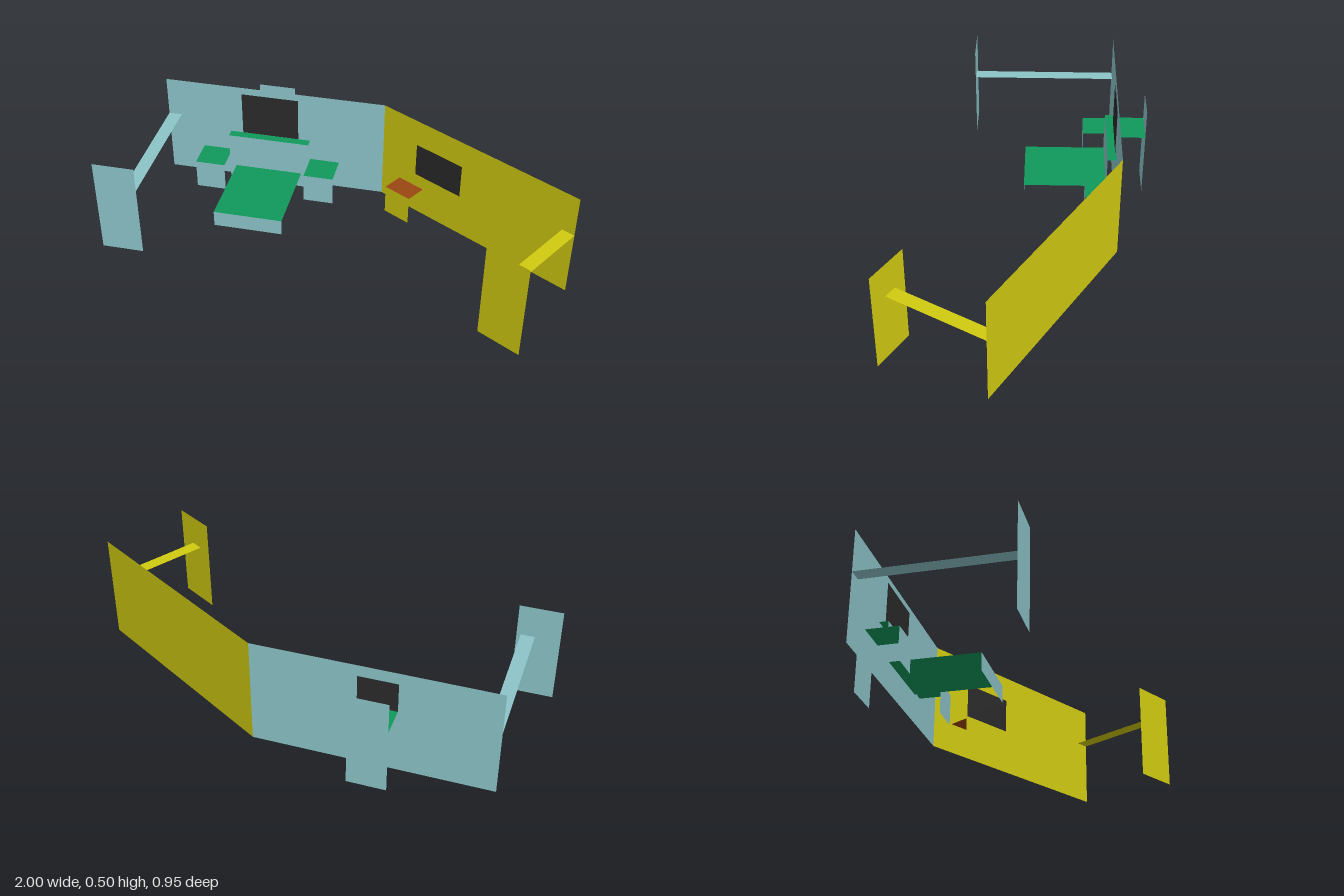
import * as THREE from 'three';

const mat = (color) => new THREE.MeshStandardMaterial({ color, side: THREE.DoubleSide });

export function createModel() {
  const blue = mat(0x8cc4c8), yellow = mat(0xd0ca10), green = mat(0x10985c);
  const black = mat(0x2a2a2a), brown = mat(0x9a4612);
  const WALL_H = 0.487, WALL_L = 1.036, ANGLE = 0.264;

  const add = (parent, name, geometry, material) => {
    const mesh = new THREE.Mesh(geometry, material);
    mesh.name = name;
    parent.add(mesh);
    return mesh;
  };
  // upright sheet parallel to the wall, at distance z from it
  const panel = (parent, name, x0, x1, y0, y1, z, material) =>
    add(parent, name, new THREE.PlaneGeometry(x1 - x0, y1 - y0), material)
      .position.set((x0 + x1) / 2, (y0 + y1) / 2, z);
  // level sheet at height y
  const slab = (parent, name, x0, x1, z0, z1, y, material) =>
    add(parent, name, new THREE.PlaneGeometry(x1 - x0, Math.abs(z1 - z0)).rotateX(-Math.PI / 2), material)
      .position.set((x0 + x1) / 2, y, (z0 + z1) / 2);
  // level top with a single front sheet
  const unit = (parent, name, x0, x1, z0, z1, h, top, front) => {
    const g = new THREE.Group();
    g.name = name;
    parent.add(g);
    slab(g, name + 'Top', x0, x1, z0, z1, h, top);
    panel(g, name + 'Front', x0, x1, 0, h, z1, front);
  };
  const rect = (Type, x0, x1, y0, y1) => new Type([
    new THREE.Vector2(x0, y0), new THREE.Vector2(x1, y0),
    new THREE.Vector2(x1, y1), new THREE.Vector2(x0, y1)]);

  const root = new THREE.Group();
  root.name = 'roomSet';
  const room = new THREE.Group();
  room.name = 'room';
  room.position.y = 0.01;
  room.rotation.z = -0.009; // slight lean of the whole set
  root.add(room);

  // each side is laid out along its own wall, starting from the shared corner
  const [bedSide, deskSide] = [['bedroomSide', ANGLE], ['deskSide', -ANGLE]].map(([name, turn]) => {
    const g = new THREE.Group();
    g.name = name;
    g.position.z = -0.47;
    g.rotation.y = turn;
    room.add(g);
    return g;
  });

  // bedroom wall with a niche opening
  const wall = rect(THREE.Shape, -WALL_L, 0, 0, WALL_H);
  wall.holes.push(rect(THREE.Path, -0.622, -0.453, 0.3, 0.435));
  add(bedSide, 'bedroomWall', new THREE.ShapeGeometry(wall), blue);
  slab(bedSide, 'nicheShelf', -0.622, -0.453, -0.132, 0, 0.3, green);
  panel(bedSide, 'nicheBack', -0.622, -0.453, 0, 0.435, -0.132, blue);
  panel(bedSide, 'bedroomPicture', -0.673, -0.405, 0.245, 0.455, 0.004, black);

  // bed, headboard and night stands
  unit(bedSide, 'headboard', -0.733, -0.35, 0, 0.04, 0.242, green, blue);
  unit(bedSide, 'bed', -0.703, -0.385, 0.04, 0.418, 0.075, green, blue);
  for (const x of [-0.871, -0.349]) unit(bedSide, 'nightStand', x, x + 0.139, 0, 0.14, 0.138, green, blue);

  // bedroom side shelf and its end panel
  slab(bedSide, 'bedroomShelf', -WALL_L, -0.975, 0, 0.668, 0.3, blue);
  panel(bedSide, 'bedroomEndPanel', -1.144, -0.957, 0, 0.445, 0.669, blue);

  // desk wall, picture and small desk
  panel(deskSide, 'deskWall', 0, WALL_L, 0, WALL_H, 0, yellow);
  panel(deskSide, 'deskPicture', 0.197, 0.45, 0.205, 0.365, 0.004, black);
  unit(deskSide, 'desk', 0.104, 0.242, 0, 0.1, 0.137, brown, yellow);

  // desk side shelf and its end panel
  slab(deskSide, 'deskShelf', 0.975, WALL_L, 0, 0.458, 0.3, yellow);
  panel(deskSide, 'deskEndPanel', 0.911, 1.117, 0, 0.445, 0.459, yellow);

  return root;
}
